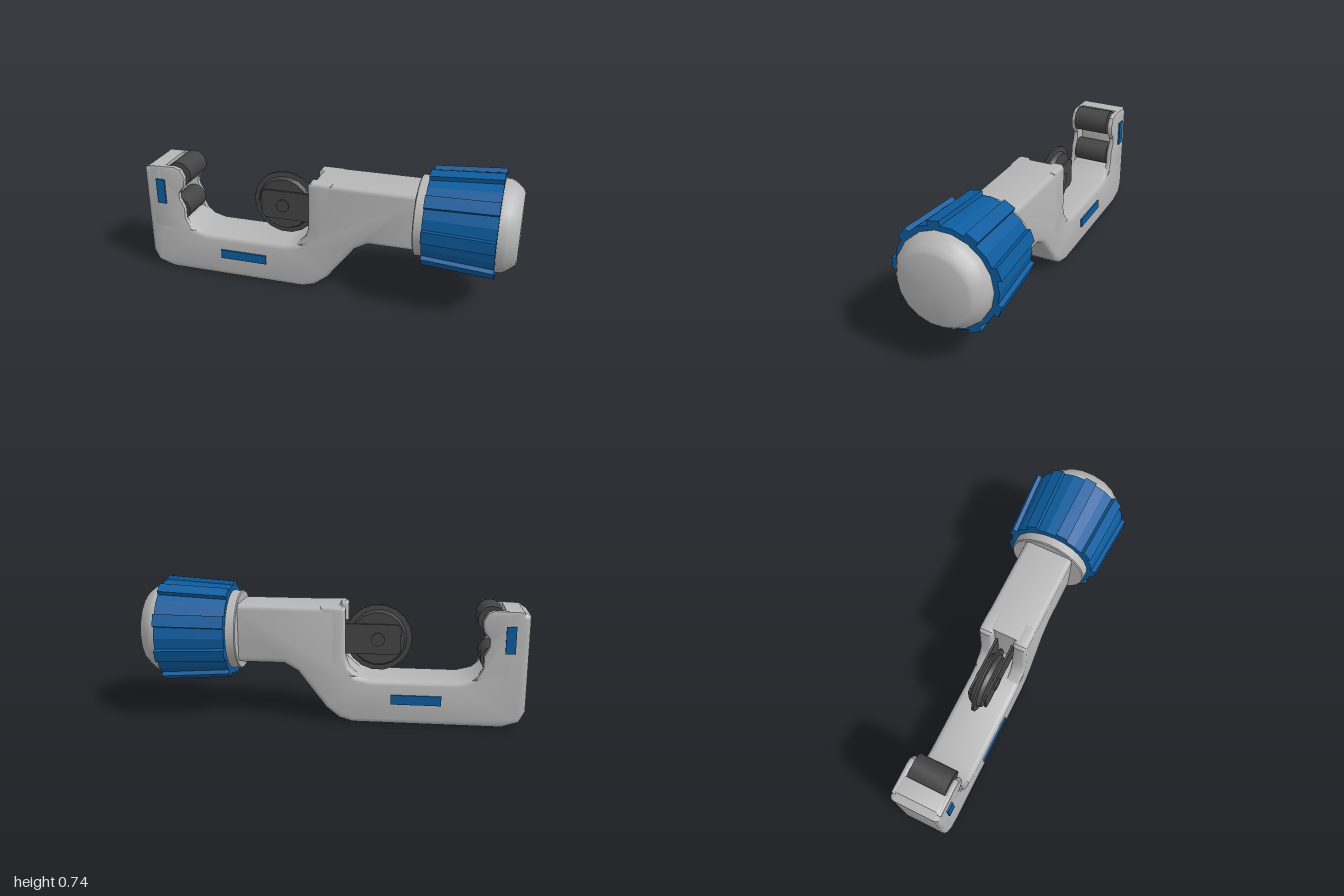
import * as THREE from 'three';
import { toCreasedNormals } from 'three/addons/utils/BufferGeometryUtils.js';

const HALF = 0.133; // half width of the frame
const AXIS_Y = 0.46; // height of the knob axis

export function createModel() {
  const root = new THREE.Group();
  root.name = 'tubeCutter';
  const paint = (name, color) => {
    const m = new THREE.MeshStandardMaterial({ color });
    m.name = name;
    return m;
  };
  const grey = paint('castGrey', 0xb6b6b6);
  const dark = paint('darkSteel', 0x444444);
  const blue = paint('bluePlastic', 0x0c5c9e);

  const add = (name, geometry, material, parent = root) => {
    const mesh = new THREE.Mesh(geometry, material);
    mesh.name = name;
    parent.add(mesh);
    return mesh;
  };
  // Outline extruded from z0 to z1 with rounded edges inside the outline
  const slab = (pts, z0, z1, bevel, segments = 3) => {
    const shape = new THREE.Shape(pts.map(([x, y]) => new THREE.Vector2(x, y)));
    const g = new THREE.ExtrudeGeometry(shape, {
      depth: z1 - z0 - 2 * bevel, bevelEnabled: bevel > 0, bevelSize: bevel,
      bevelThickness: bevel, bevelOffset: -bevel, bevelSegments: segments,
    });
    g.translate(0, 0, z0 + bevel);
    return toCreasedNormals(g, 0.6);
  };
  // Profile of [x, radius] turned about the x axis
  const turned = (pts, sides, crease) => {
    const g = new THREE.LatheGeometry(pts.map(([x, r]) => new THREE.Vector2(r, x)), sides);
    g.rotateZ(-Math.PI / 2);
    return toCreasedNormals(g.toNonIndexed(), crease);
  };

  // Frame: hook arm, bottom bar and raised block in one outline
  add('frame', slab([
    [-1, 0.59], [-1, 0.09], [-0.97, 0.03], [-0.88, 0], [-0.11, 0], [-0.04, 0.02],
    [0.03, 0.075], [0.18, 0.27], [0.25, 0.31], [0.52, 0.31], [0.52, 0.618],
    [-0.035, 0.618], [-0.035, 0.34], [-0.08, 0.3], [-0.13, 0.255], [-0.2, 0.24],
    [-0.65, 0.24], [-0.73, 0.262], [-0.775, 0.3], [-0.875, 0.31],
    [-0.875, 0.618], [-0.96, 0.618],
  ], -HALF, HALF, 0.028), grey);

  // Cheeks on both sides of the roller slot and of the wheel slot
  const rollerCheek = [
    [-0.97, 0.615], [-0.97, 0.25], [-0.72, 0.25], [-0.755, 0.28], [-0.775, 0.32],
    [-0.775, 0.38], [-0.8, 0.43], [-0.8, 0.47], [-0.768, 0.51], [-0.762, 0.56],
    [-0.785, 0.605], [-0.82, 0.618],
  ];
  const wheelCheek = [
    [-0.07, 0.6], [-0.07, 0.36], [-0.09, 0.3], [-0.14, 0.25], [0.06, 0.24],
    [0.06, 0.618], [-0.055, 0.618],
  ];
  for (const s of [1, -1]) {
    const side = s > 0 ? 'left' : 'right';
    const span = (a, b) => (s > 0 ? [a, b] : [-b, -a]);
    add(side + 'RollerCheek', slab(rollerCheek, ...span(0.1, HALF), 0.012, 2), grey);
    add(side + 'WheelCheek', slab(wheelCheek, ...span(0.056, HALF), 0.02), grey);

    // Painted plates on the side of the bar and the arm
    const bar = add(side + 'BarPlate', new THREE.BoxGeometry(0.26, 0.05, 0.009), blue);
    bar.position.set(-0.44, 0.137, s * (HALF + 0.004));
    const arm = add(side + 'ArmPlate', new THREE.BoxGeometry(0.05, 0.14, 0.009), blue);
    arm.position.set(-0.905, 0.47, s * (HALF + 0.004));

    // Wheel holder plates
    add(side + 'HolderPlate', slab([
      [-0.355, 0.5], [-0.355, 0.37], [-0.335, 0.355], [0, 0.355], [0, 0.515], [-0.335, 0.515],
    ], ...span(0.038, 0.05), 0), dark);
  }

  // Guide rollers
  for (const [name, x, y, r] of [['upperRoller', -0.81, 0.565, 0.07], ['lowerRoller', -0.825, 0.36, 0.066]]) {
    const g = new THREE.CylinderGeometry(r, r, 0.2, 14);
    g.rotateX(Math.PI / 2);
    add(name, toCreasedNormals(g.toNonIndexed(), 0.6), dark).position.set(x, y, 0);
  }

  // Cutting wheel with a thin rim, and its pin
  const wheel = new THREE.Group();
  wheel.name = 'cuttingWheel';
  wheel.position.set(-0.235, 0.435, 0);
  root.add(wheel);
  add('disc', turned([
    [-0.03, 0], [-0.03, 0.14], [-0.008, 0.15], [-0.006, 0.177],
    [0.006, 0.177], [0.008, 0.15], [0.03, 0.14], [0.03, 0],
  ], 18, 0.4).rotateY(Math.PI / 2), dark, wheel);
  add('pin', new THREE.CylinderGeometry(0.035, 0.035, 0.12, 16).rotateX(Math.PI / 2), dark, wheel);

  // Knob on the end of the block
  const knob = new THREE.Group();
  knob.name = 'knob';
  knob.position.y = AXIS_Y;
  root.add(knob);
  add('collar', turned([[0.49, 0], [0.49, 0.205], [0.495, 0.21], [0.56, 0.21], [0.56, 0]], 24, 0.5), grey, knob);
  add('grip', turned([[0.54, 0], [0.54, 0.24], [0.9, 0.264], [0.9, 0.2]], 18, 0.1), blue, knob);
  add('endCap', turned([
    [0.89, 0.238], [0.925, 0.238], [0.945, 0.23], [0.975, 0.207], [0.993, 0.19], [1, 0.175], [1, 0],
  ], 18, 0.75), grey, knob);

  // Nine ribs that follow the taper of the grip
  const ribShape = [[0.54, 0.2], [0.9, 0.2], [0.9, 0.281], [0.54, 0.257]];
  const rib = slab(ribShape, -0.032, 0.032, 0);
  for (let i = 0; i < 9; i++) {
    add('rib' + (i + 1), rib, blue, knob).rotation.x = Math.PI / 2 + (i * Math.PI * 2) / 9;
  }
  return root;
}
